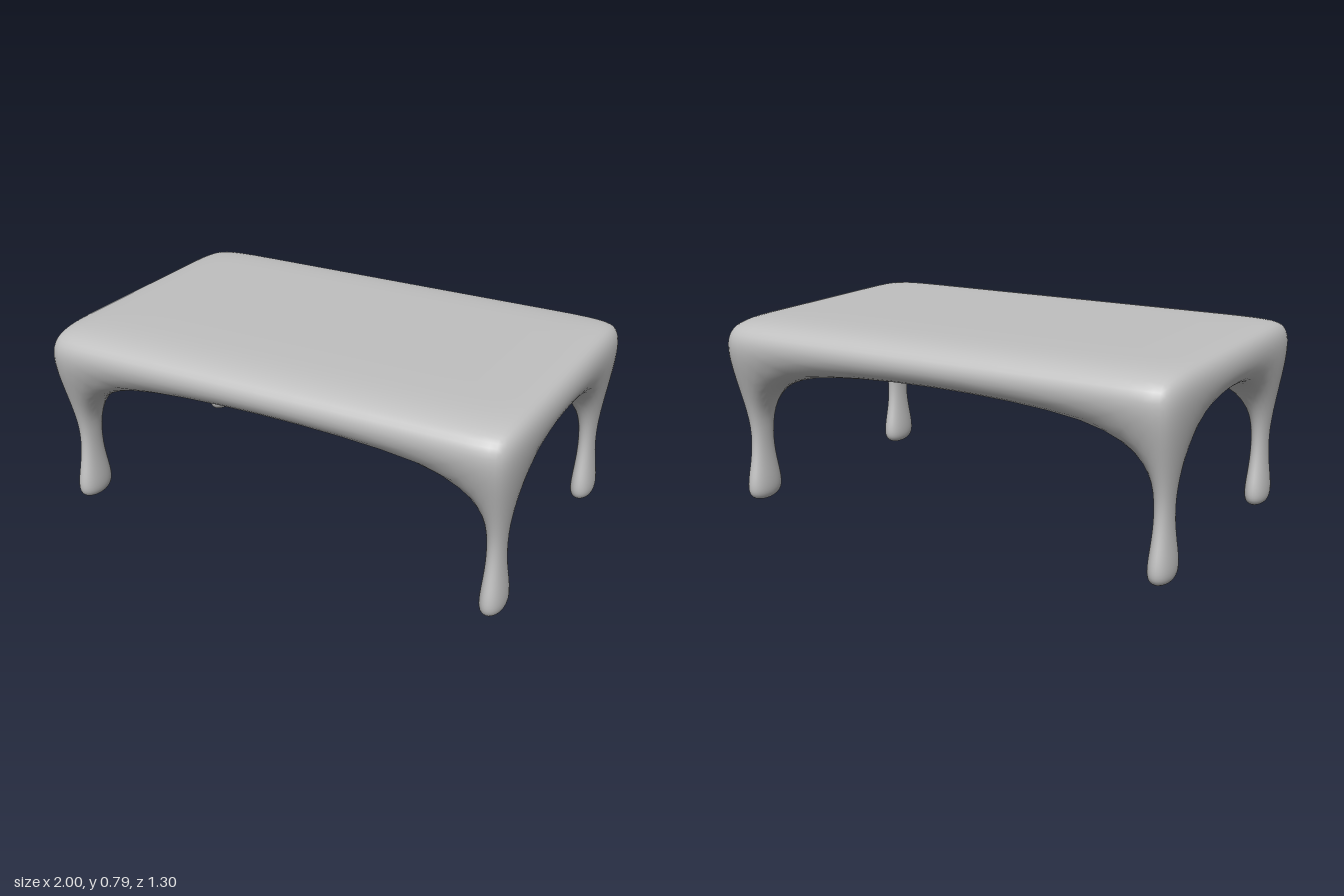
import * as THREE from 'three';

const TOP = 0.8, UNDER = 0.62;
const XS = [-1.007, -0.83, 0.83, 1.007];
const ZS = [-0.664, -0.32, 0.32, 0.664];
// Leg rings from the slab down: height, half width in x, half width in z
const LEG = [[0.31, 0.022, 0.032], [0.1, 0.052, 0.1], [0, 0.052, 0.1]];

// Coarse closed cage: a slab of 3 x 3 cells with a leg drawn down from each corner cell
function tableCage() {
  const verts = [], faces = [], index = new Map();
  const vert = (x, y, z) => {
    const key = [x, y, z].map((n) => Math.round(n * 1e4)).join();
    if (!index.has(key)) {
      index.set(key, verts.length);
      verts.push(new THREE.Vector3(x, y, z));
    }
    return index.get(key);
  };
  const rect = (x0, x1, z0, z1, y) =>
    [vert(x0, y, z0), vert(x0, y, z1), vert(x1, y, z1), vert(x1, y, z0)];
  const wall = (lower, upper) => lower.forEach((p, i) => {
    const k = (i + 1) % lower.length;
    faces.push([p, lower[k], upper[k], upper[i]]);
  });

  // Top and underside, with the corner cells left open below for the legs
  for (let i = 0; i < 3; i++) {
    for (let j = 0; j < 3; j++) {
      const cell = (y) => rect(XS[i], XS[i + 1], ZS[j], ZS[j + 1], y);
      faces.push(cell(TOP));
      if (i === 1 || j === 1) faces.push(cell(UNDER).reverse());
    }
  }

  // Rim of the slab
  const rim = [];
  for (let k = 0; k < 3; k++) rim.push([XS[0], ZS[k]]);
  for (let k = 0; k < 3; k++) rim.push([XS[k], ZS[3]]);
  for (let k = 3; k > 0; k--) rim.push([XS[3], ZS[k]]);
  for (let k = 3; k > 0; k--) rim.push([XS[k], ZS[0]]);
  wall(rim.map(([x, z]) => vert(x, UNDER, z)), rim.map(([x, z]) => vert(x, TOP, z)));

  // Legs: narrow in the middle, flared at the foot
  for (const i of [0, 2]) {
    for (const j of [0, 2]) {
      const cx = (XS[i] + XS[i + 1]) / 2, cz = (ZS[j] + ZS[j + 1]) / 2;
      let upper = rect(XS[i], XS[i + 1], ZS[j], ZS[j + 1], UNDER);
      for (const [y, hx, hz] of LEG) {
        const lower = rect(cx - hx, cx + hx, cz - hz, cz + hz, y);
        wall(lower, upper);
        upper = lower;
      }
      faces.push([...upper].reverse());
    }
  }
  return { verts, faces };
}

// One Catmull-Clark step on a closed quad mesh
function subdivide({ verts, faces }) {
  const out = verts.map(() => new THREE.Vector3());
  const rings = verts.map(() => ({ n: 0, face: new THREE.Vector3(), edge: new THREE.Vector3() }));
  const edges = new Map();
  const edgeKey = (a, b) => Math.min(a, b) + '_' + Math.max(a, b);

  const facePoints = faces.map((f) => {
    const c = new THREE.Vector3();
    f.forEach((v) => c.addScaledVector(verts[v], 1 / f.length));
    f.forEach((v, i) => {
      rings[v].n++;
      rings[v].face.add(c);
      const w = f[(i + 1) % f.length], key = edgeKey(v, w);
      if (!edges.has(key)) {
        edges.set(key, { a: v, b: w, sum: verts[v].clone().add(verts[w]) });
      }
      edges.get(key).sum.add(c);
    });
    return out.push(c) - 1;
  });

  for (const e of edges.values()) {
    const mid = verts[e.a].clone().add(verts[e.b]).multiplyScalar(0.5);
    rings[e.a].edge.add(mid);
    rings[e.b].edge.add(mid);
    e.id = out.push(e.sum.multiplyScalar(0.25)) - 1;
  }

  rings.forEach(({ n, face, edge }, i) => {
    out[i].copy(verts[i]).multiplyScalar((n - 3) / n)
      .addScaledVector(face, 1 / (n * n))
      .addScaledVector(edge, 2 / (n * n));
  });

  const quads = [];
  faces.forEach((f, k) => f.forEach((v, i) => {
    const next = f[(i + 1) % f.length], prev = f[(i + f.length - 1) % f.length];
    quads.push([v, edges.get(edgeKey(v, next)).id, facePoints[k], edges.get(edgeKey(prev, v)).id]);
  }));
  return { verts: out, faces: quads };
}

export function createModel() {
  const group = new THREE.Group();
  group.name = 'table';

  let mesh = tableCage();
  for (let i = 0; i < 3; i++) mesh = subdivide(mesh);

  const geometry = new THREE.BufferGeometry().setFromPoints(mesh.verts);
  geometry.setIndex(mesh.faces.flatMap(([a, b, c, d]) => [a, b, c, a, c, d]));
  geometry.computeVertexNormals();

  const grey = new THREE.MeshStandardMaterial({ color: 0xc0c0c0 });
  grey.name = 'light grey';

  // Top and legs flow into one another as a single smooth skin
  const body = new THREE.Mesh(geometry, grey);
  body.name = 'tableTopAndLegs';
  group.add(body);
  return group;
}
